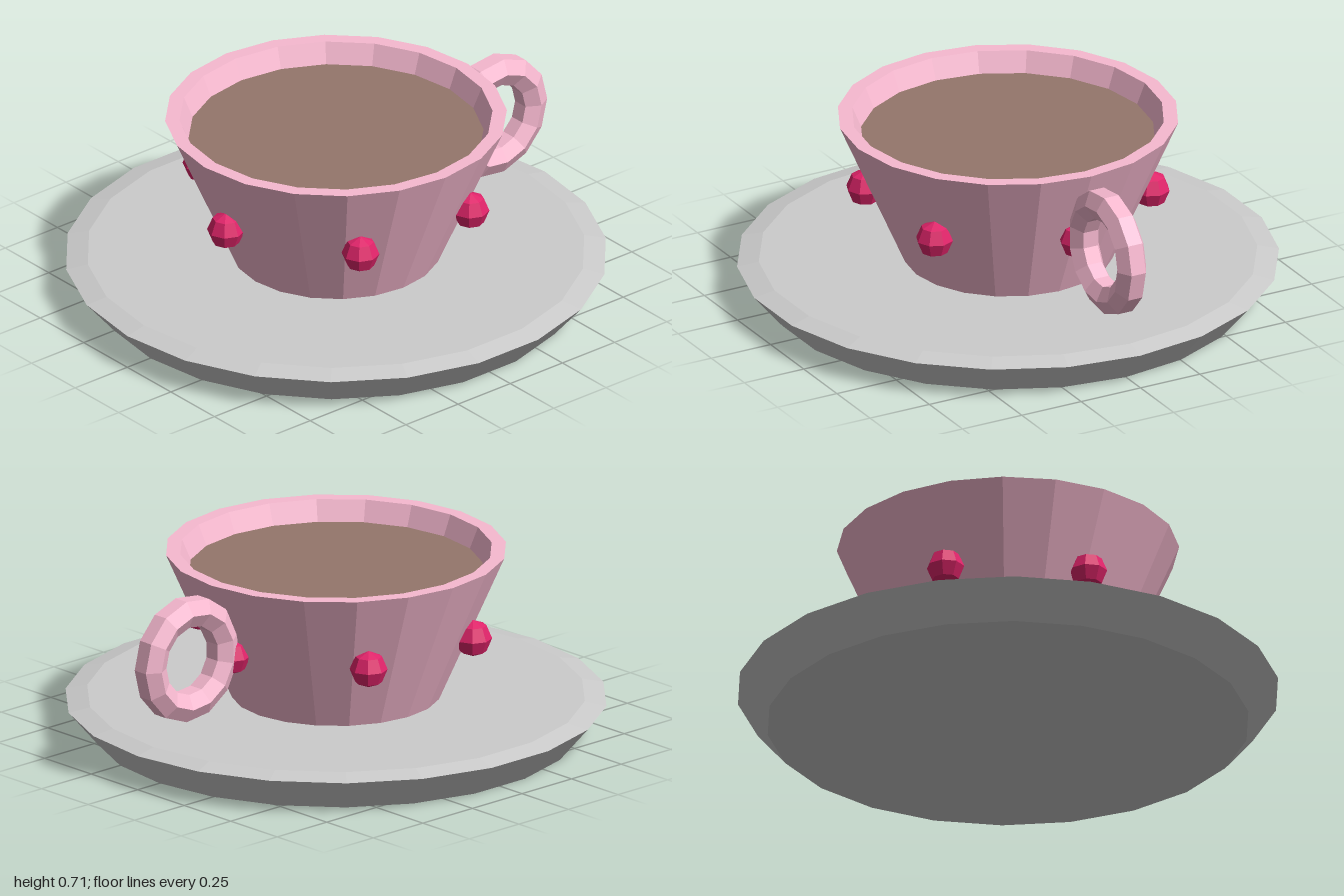
import * as THREE from 'three';

const material = (color) =>
  new THREE.MeshStandardMaterial({ color, flatShading: true });

// Faceted solid of revolution; profile runs from bottom axis, up the outside, back inward
function lathe(profile, sides, mat, name) {
  const points = profile.map(([r, y]) => new THREE.Vector2(r, y));
  const mesh = new THREE.Mesh(new THREE.LatheGeometry(points, sides, Math.PI / 2), mat);
  mesh.name = name;
  return mesh;
}

export function createModel() {
  const group = new THREE.Group();
  group.name = 'cupAndSaucer';
  const grey = material(0xcccccc);
  const pink = material(0xf7b9d0);
  const red = material(0xe0246a);
  const brown = material(0x94766b);

  // Saucer: flared side with a bevelled rim
  group.add(lathe([[0, 0], [0.89, 0], [1, 0.13], [0.92, 0.147], [0, 0.147]], 22, grey, 'saucer'));

  // Cup: tapered wall with a flat lip and an open interior
  group.add(lathe(
    [[0, 0.145], [0.385, 0.145], [0.63, 0.707], [0.577, 0.707], [0.36, 0.2], [0, 0.2]],
    20, pink, 'cup'));

  // Drink surface
  const drink = new THREE.Mesh(new THREE.CircleGeometry(0.547, 20), brown);
  drink.name = 'drink';
  drink.rotation.x = -Math.PI / 2;
  drink.position.y = 0.63;
  group.add(drink);

  // Handle: ring with a hexagonal section, flats facing in and out
  const section = [];
  for (let i = 0; i <= 6; i++) {
    const a = Math.PI / 6 + (i * Math.PI) / 3;
    section.push([0.183 + 0.06 * Math.cos(a), 0.06 * Math.sin(a)]);
  }
  const handle = lathe(section, 13, pink, 'handle');
  handle.rotation.x = Math.PI / 2;
  handle.position.set(0.752, 0.452, 0);
  group.add(handle);

  // Six beads spaced around the wall
  const beadGeometry = new THREE.SphereGeometry(0.07, 8, 4);
  for (let i = 0; i < 6; i++) {
    const a = (i * Math.PI) / 3;
    const bead = new THREE.Mesh(beadGeometry, red);
    bead.name = 'bead' + (i + 1);
    bead.position.set(0.527 * Math.cos(a), 0.411, 0.527 * Math.sin(a));
    group.add(bead);
  }
  return group;
}
